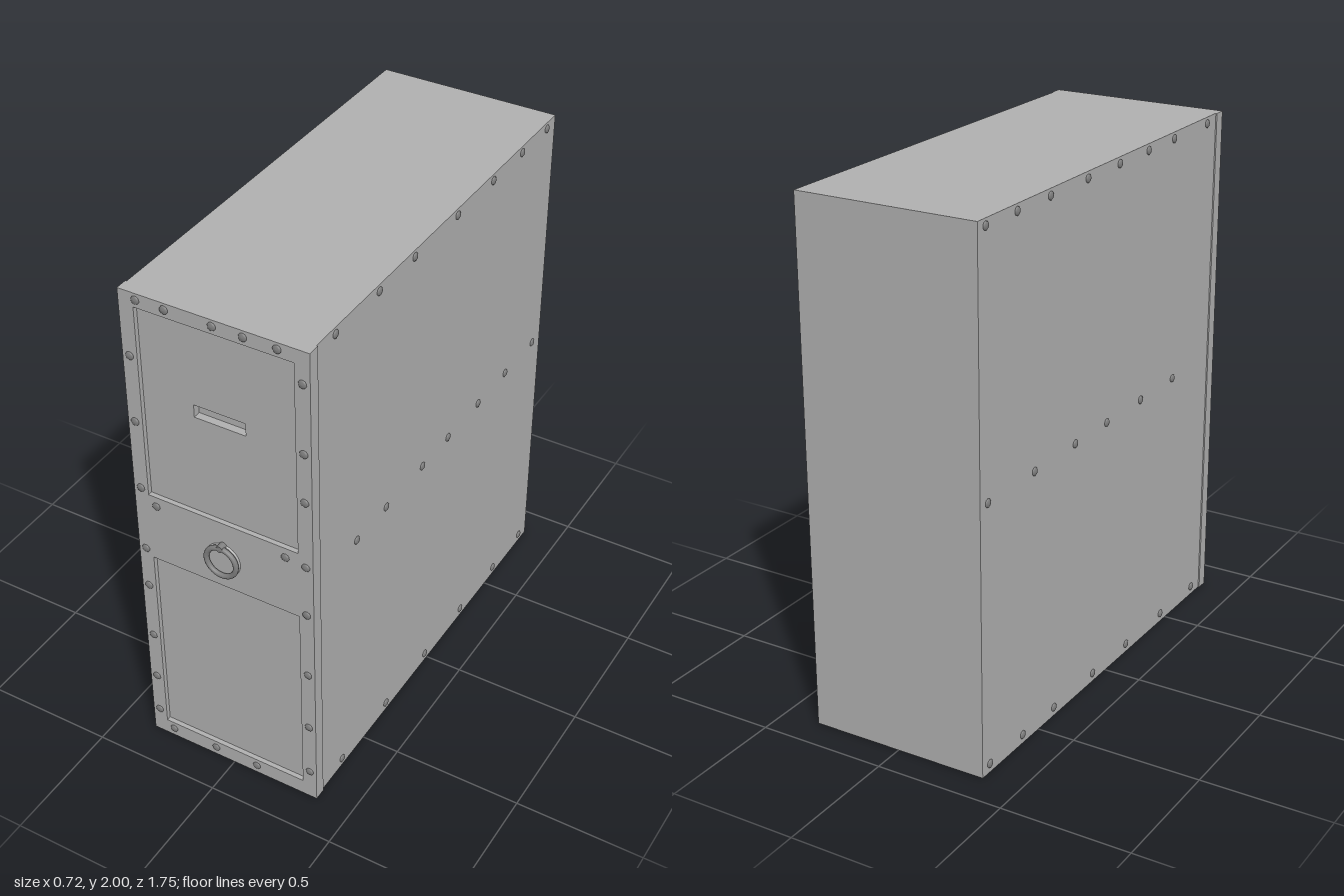
import * as THREE from 'three';

const HALF_W = 0.353, FRAME_W = 0.358, FRAME_BACK = 0.803, FRONT = 0.85, BACK = -0.877;

// Counter-clockwise rectangle as a list of points
const rect = (x0, y0, x1, y1) => [[x0, y0], [x1, y0], [x1, y1], [x0, y1]].map(p => new THREE.Vector2(...p));

// Flat plate with rectangular openings, standing from z0 to z1
function plate(outer, holes, z0, z1) {
  const shape = new THREE.Shape(rect(...outer));
  for (const h of holes) shape.holes.push(new THREE.Path(rect(...h).reverse()));
  const g = new THREE.ExtrudeGeometry(shape, { depth: z1 - z0, bevelEnabled: false });
  return g.translate(0, 0, z0);
}

export function createModel() {
  const steel = new THREE.MeshStandardMaterial({ name: 'lightSteel', color: 0xb0b0b0 });
  const iron = new THREE.MeshStandardMaterial({ name: 'darkSteel', color: 0x808080 });
  const model = new THREE.Group();
  model.name = 'metalCabinet';

  const add = (name, geometry, material, parent = model) => {
    const m = new THREE.Mesh(geometry, material);
    m.name = name;
    parent.add(m);
    return m;
  };

  // Cabinet body
  const body = new THREE.BoxGeometry(HALF_W * 2, 2, FRAME_BACK - BACK);
  body.translate(0, 1, (FRAME_BACK + BACK) / 2);
  add('body', body, steel);

  // Front frame with two recessed panels, the upper one slotted
  const upper = [-0.3, 1.17, 0.3, 1.945], lower = [-0.3, 0.065, 0.3, 0.885];
  add('frontFrame', plate([-FRAME_W, 0, FRAME_W, 2], [upper, lower], FRAME_BACK, FRONT), steel);
  add('upperPanel', plate(upper, [[-0.1, 1.57, 0.1, 1.62]], FRAME_BACK, 0.832), steel);
  add('lowerPanel', plate(lower, [], FRAME_BACK, 0.832), steel);

  // Pull ring on a round base, hung from a small knob
  const handle = new THREE.Group();
  handle.name = 'handle';
  handle.position.set(0, 1.01, FRONT);
  model.add(handle);
  const base = new THREE.CylinderGeometry(0.064, 0.068, 0.006, 32);
  base.rotateX(Math.PI / 2);
  add('handleBase', base, steel, handle).position.z = 0.003;
  add('pullRing', new THREE.TorusGeometry(0.06, 0.01, 10, 32), iron, handle).position.z = 0.017;
  const knob = new THREE.CylinderGeometry(0.013, 0.015, 0.026, 12);
  knob.rotateX(Math.PI / 2);
  add('ringKnob', knob, iron, handle).position.set(0, 0.062, 0.013);

  // Domed rivet, facing +z
  const rivetGeo = new THREE.LatheGeometry(
    [[0.016, 0], [0.0155, 0.003], [0.011, 0.006], [0, 0.0075]].map(p => new THREE.Vector2(...p)), 10);
  rivetGeo.rotateX(Math.PI / 2);
  const rivets = new THREE.Group();
  rivets.name = 'rivets';
  model.add(rivets);
  const rivet = (name, x, y, z, turn) => {
    const m = add(name, rivetGeo, iron, rivets);
    m.position.set(x, y, z);
    m.rotation.y = turn;
  };

  // Front rivets: rows by height, then columns by side
  const frontRows = [
    [1.975, [-0.29, -0.18, 0, 0.115, 0.24]],
    [1.13, [-0.27, 0.25]],
    [0.035, [-0.27, -0.08, 0.1]],
  ];
  for (const [y, xs] of frontRows) for (const x of xs) rivet('frontRivet', x, y, FRONT, 0);
  const frontColumns = [
    [-0.33, [1.745, 1.475, 1.19, 0.915, 0.74, 0.495, 0.285, 0.11]],
    [0.33, [1.875, 1.6, 1.4, 1.12, 0.905, 0.62, 0.36, 0.13]],
  ];
  for (const [x, ys] of frontColumns) for (const y of ys) rivet('frontRivet', x, y, FRONT, 0);

  // Side rivets: three rows on each side
  const sideRows = [
    [1, 1.975, [0.69, 0.415, 0.18, -0.12, -0.385, -0.61, -0.81]],
    [1, 1.03, [0.555, 0.35, 0.085, -0.11, -0.35, -0.575, -0.81]],
    [1, 0.035, [0.66, 0.33, 0.02, -0.28, -0.57, -0.81]],
    [-1, 1.975, [0.73, 0.46, 0.26, 0.045, -0.18, -0.43, -0.64, -0.83]],
    [-1, 1.03, [0.5, 0.24, -0.02, -0.25, -0.53, -0.83]],
    [-1, 0.035, [0.73, 0.455, 0.165, -0.1, -0.39, -0.61, -0.83]],
  ];
  for (const [side, y, zs] of sideRows)
    for (const z of zs) rivet('sideRivet', side * HALF_W, y, z, side * Math.PI / 2);

  return model;
}
